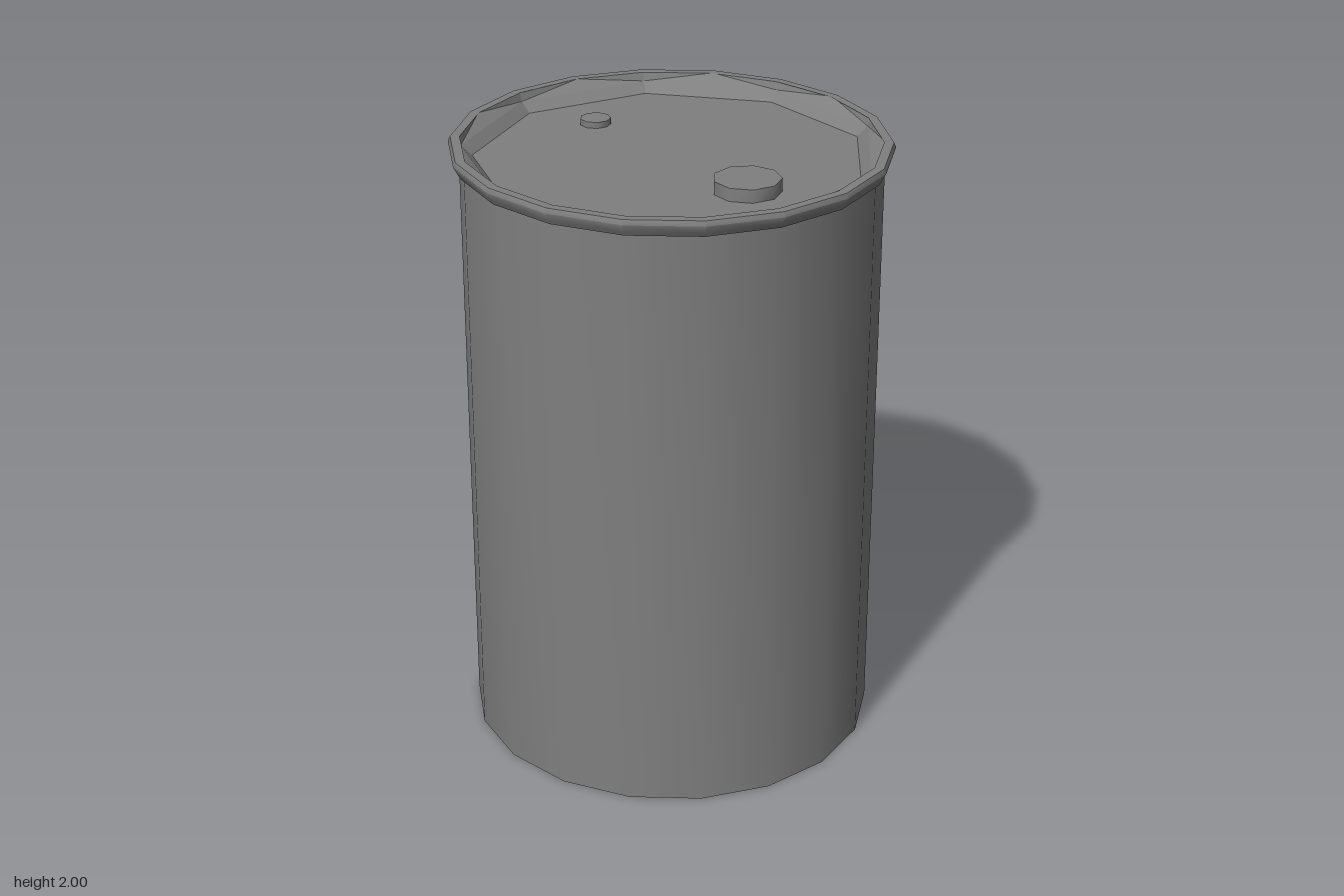
import * as THREE from 'three';
import { toCreasedNormals } from 'three/addons/utils/BufferGeometryUtils.js';

const SIDES = 18, LID_SIDES = 9;
const LID_Y = 1.94;
const WIDEN = 1.013; // the wall and lip are very slightly wider in x

// point on a ring; angle 0 faces +z
const ringPoint = (r, y, degrees) => {
  const a = THREE.MathUtils.degToRad(degrees);
  return [r * Math.sin(a), y, r * Math.cos(a)];
};

function lathe(profile) {
  const points = profile.map(([r, y]) => new THREE.Vector2(r, y));
  const g = new THREE.LatheGeometry(points, SIDES).scale(WIDEN, 1, 1);
  return toCreasedNormals(g, 0.95);
}

// recess that steps from the 18-sided rim to the 9-sided lid
function recessGeometry() {
  const pos = [];
  const step = 360 / LID_SIDES;
  for (let i = 0; i < LID_SIDES; i++) {
    const a0 = i * step, a1 = a0 + step;
    const A = ringPoint(0.663, 2, a0);
    const B = ringPoint(0.663, 2, a0 + step / 2);
    const C = ringPoint(0.663, 2, a1);
    const P = ringPoint(0.655, 1.972, a0), Q = ringPoint(0.655, 1.972, a1);
    const p = ringPoint(0.621, LID_Y, a0), q = ringPoint(0.621, LID_Y, a1);
    pos.push(...A, ...B, ...P, ...B, ...Q, ...P, ...B, ...C, ...Q);
    pos.push(...P, ...Q, ...q, ...P, ...q, ...p);
    pos.push(...p, ...q, 0, LID_Y, 0);
  }
  const g = new THREE.BufferGeometry();
  g.setAttribute('position', new THREE.Float32BufferAttribute(pos, 3));
  g.computeVertexNormals();
  return g;
}

export function createModel() {
  const group = new THREE.Group();
  const material = new THREE.MeshStandardMaterial({ color: 0x7f7f7f });
  const add = (name, geometry, x = 0, y = 0, z = 0) => {
    const mesh = new THREE.Mesh(geometry, material);
    mesh.name = name;
    mesh.position.set(x, y, z);
    group.add(mesh);
  };

  // barrel wall with closed base
  add('body', lathe([[0, 0], [0.66, 0], [0.66, 1.95]]));

  // flared rolled lip
  add('rim', lathe([
    [0.655, 1.945], [0.67, 1.945], [0.678, 1.959], [0.692, 1.985], [0.685, 2], [0.655, 2],
  ]));

  // sunken lid and its sloping wall
  add('lid', recessGeometry());

  // two bung caps
  const cap = (name, r, h, x) => add(
    name,
    toCreasedNormals(new THREE.CylinderGeometry(r, r, h, 9, 1, false, Math.PI), 0.8),
    x, LID_Y + h / 2, -0.003);
  cap('largeCap', 0.106, 0.042, 0.367);
  cap('smallCap', 0.05, 0.02, -0.4);

  return group;
}
